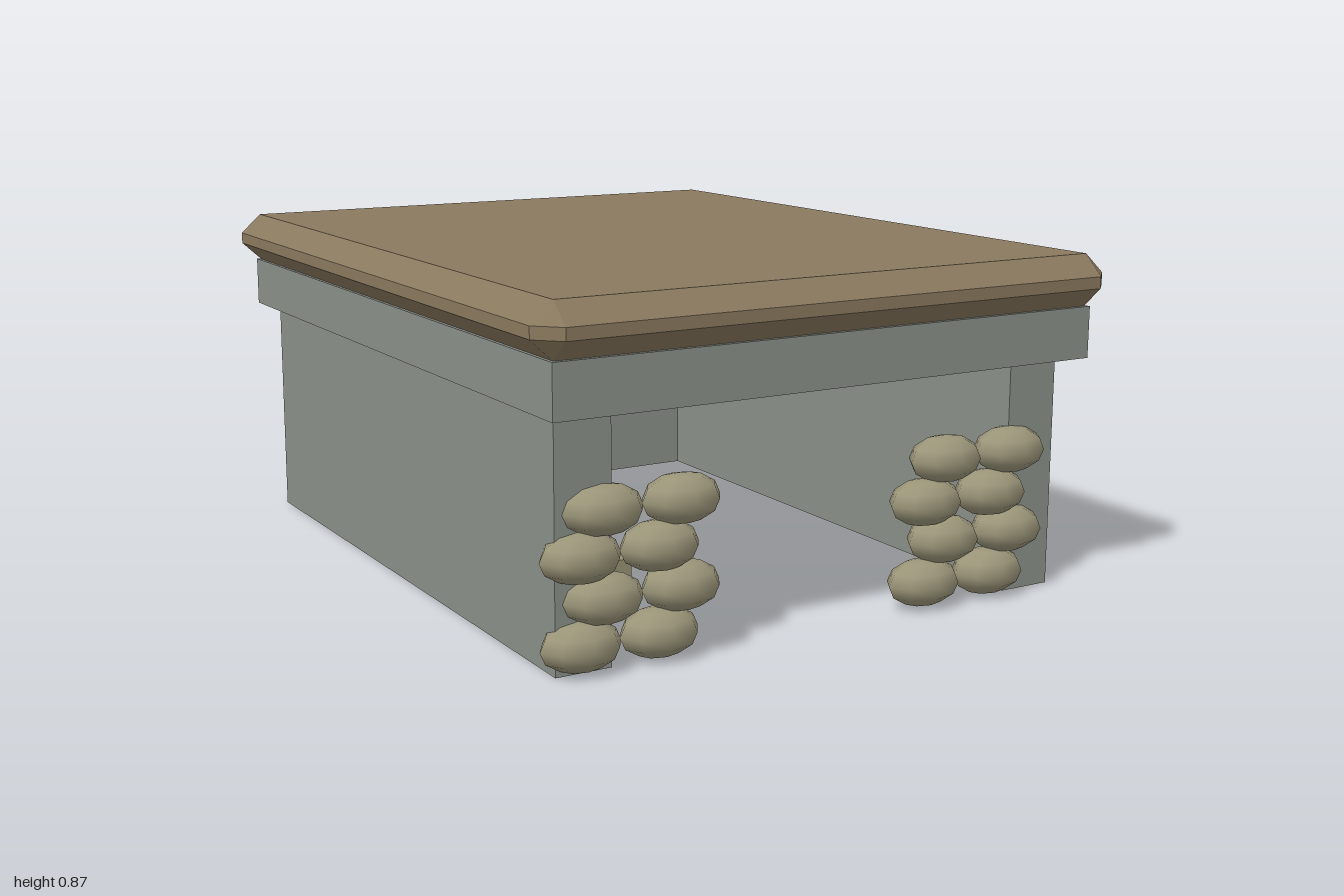
import * as THREE from 'three';
import { ConvexGeometry } from 'three/addons/geometries/ConvexGeometry.js';

const material = (name, color) => {
  const m = new THREE.MeshStandardMaterial({ color });
  m.name = name;
  return m;
};

export function createModel() {
  const group = new THREE.Group();
  const concrete = material('concrete grey', 0x8b9089);
  const earth = material('earth brown', 0x8a795e);
  const burlap = material('burlap', 0x9b9579);
  const wood = material('bench olive', 0x969173);

  const add = (name, geometry, mat, x = 0, y = 0, z = 0) => {
    const mesh = new THREE.Mesh(geometry, mat);
    mesh.name = name;
    mesh.position.set(x, y, z);
    group.add(mesh);
    return mesh;
  };
  // Box given by its minimum and maximum corners
  const box = (name, mat, [x0, y0, z0], [x1, y1, z1]) =>
    add(name, new THREE.BoxGeometry(x1 - x0, y1 - y0, z1 - z0), mat,
      (x0 + x1) / 2, (y0 + y1) / 2, (z0 + z1) / 2);

  // Walls, open at the front
  box('leftWall', concrete, [0.575, 0, -0.88], [0.72, 0.605, 0.88]);
  box('rightWall', concrete, [-0.72, 0, -0.88], [-0.575, 0.605, 0.88]);
  box('backWall', concrete, [-0.575, 0, -0.88], [0.575, 0.605, -0.74]);

  // Overhanging ceiling slab
  box('ceilingSlab', concrete, [-0.76, 0.605, -0.955], [0.76, 0.737, 0.955]);

  // Roof cover: a box with every edge and corner chamfered
  const half = [0.807, 0.067, 1];
  const bevel = [0.057, 0.052, 0.057];
  const corners = [];
  for (const sx of [-1, 1]) for (const sy of [-1, 1]) for (const sz of [-1, 1]) {
    for (let axis = 0; axis < 3; axis++) {
      const p = half.map((h, i) => (i === axis ? h : h - bevel[i]));
      corners.push(new THREE.Vector3(sx * p[0], sy * p[1], sz * p[2]));
    }
  }
  add('roofCover', new ConvexGeometry(corners), earth, 0, 0.803, 0);

  // Benches along the right inner wall
  for (const [z0, z1] of [[0.14, 0.69], [-0.69, -0.13]]) {
    box('bench', wood, [-0.575, 0.09, z0], [-0.415, 0.185, z1]);
  }

  // Two staggered sandbag stacks beside the opening
  const bag = new THREE.SphereGeometry(1, 8, 6).scale(0.104, 0.06, 0.07);
  for (const startX of [-0.655, 0.315]) {
    for (let row = 0; row < 4; row++) {
      for (let i = 0; i < 2; i++) {
        add('sandbag', bag, burlap,
          startX + (row % 2) * 0.058 + i * 0.205, 0.065 + row * 0.1035, 0.88);
      }
    }
  }
  return group;
}
